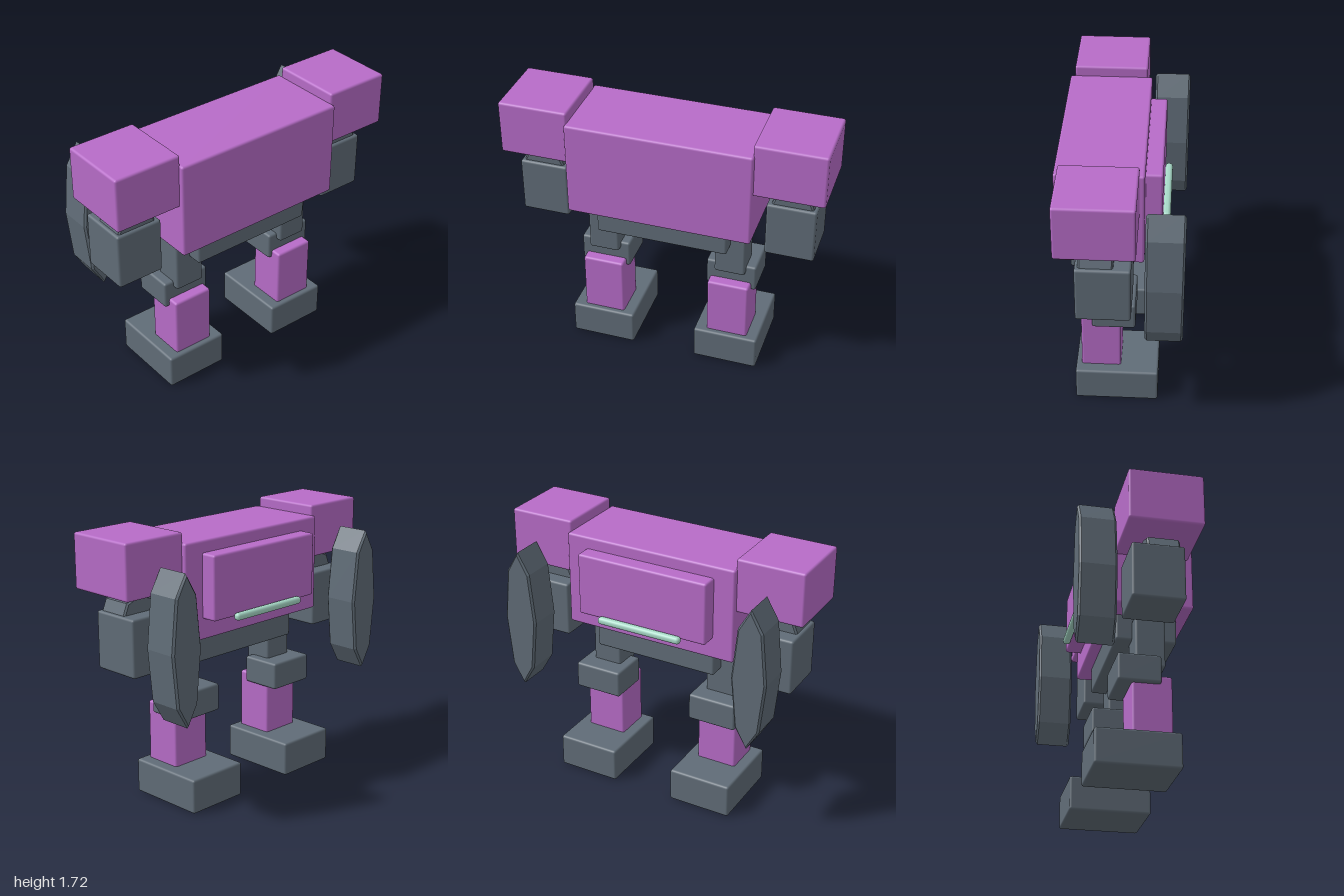
import * as THREE from 'three';
import { RoundedBoxGeometry } from 'three/addons/geometries/RoundedBoxGeometry.js';

const armour = new THREE.MeshStandardMaterial({ name: 'orchid armour', color: 0xb76cc8 });
const frame = new THREE.MeshStandardMaterial({ name: 'slate frame', color: 0x606c77 });
const glow = new THREE.MeshStandardMaterial({ name: 'mint light', color: 0xa6d8c6 });

// Softly bevelled box given by its min and max on each axis
function block(name, material, [x0, x1], [y0, y1], [z0, z1], bevel = 0.015) {
  const geometry = new RoundedBoxGeometry(x1 - x0, y1 - y0, z1 - z0, 2, bevel);
  const mesh = new THREE.Mesh(geometry, material);
  mesh.name = name;
  mesh.position.set((x0 + x1) / 2, (y0 + y1) / 2, (z0 + z1) / 2);
  return mesh;
}

// Bevelled eight-sided prism along z, stretched to radii rx and ry
function octagon(name, x, y, rx, ry, [z0, z1], bevel) {
  const points = [];
  for (let i = 0; i < 8; i++) {
    const a = (i * Math.PI) / 4;
    points.push(new THREE.Vector2(Math.cos(a) * rx, Math.sin(a) * ry));
  }
  const geometry = new THREE.ExtrudeGeometry(new THREE.Shape(points), {
    depth: z1 - z0 - 2 * bevel,
    bevelThickness: bevel, bevelSize: bevel, bevelOffset: -bevel, bevelSegments: 1,
  });
  const mesh = new THREE.Mesh(geometry, frame);
  mesh.name = name;
  mesh.position.set(x, y, z0 + bevel);
  return mesh;
}

// Ranges on x swap sign for the right side
const side = (s, a, b) => (s > 0 ? [a, b] : [-b, -a]);

function makeArm(s) {
  const arm = new THREE.Group();
  arm.name = s > 0 ? 'leftArm' : 'rightArm';
  arm.add(
    block('shoulder', armour, side(s, 0.565, 1), [1.38, 1.72], [-0.11, 0.35]),
    octagon('elbow', s * 0.785, 1.23, 0.14, 0.14, [0.02, 0.22], 0.01),
    block('forearm', frame, side(s, 0.63, 0.935), [0.905, 1.26], [-0.08, 0.24]),
  );
  return arm;
}

function makeLeg(s) {
  const leg = new THREE.Group();
  leg.name = s > 0 ? 'leftLeg' : 'rightLeg';
  leg.add(
    block('thigh', frame, side(s, 0.315, 0.51), [0.675, 1.01], [0.03, 0.215]),
    block('knee', frame, side(s, 0.255, 0.575), [0.545, 0.72], [-0.09, 0.175]),
    block('shin', armour, side(s, 0.28, 0.545), [0.2, 0.6], [0, 0.245]),
    block('foot', frame, side(s, 0.205, 0.62), [0, 0.22], [-0.235, 0.28]),
  );
  return leg;
}

export function createModel() {
  const model = new THREE.Group();
  model.name = 'robot';

  // Body, hips and back unit
  model.add(
    block('torso', armour, [-0.575, 0.575], [1.05, 1.655], [-0.14, 0.38]),
    block('pelvis', frame, [-0.415, 0.415], [0.885, 1.08], [-0.07, 0.31]),
    block('backpack', armour, [-0.44, 0.44], [1.18, 1.58], [-0.24, -0.12]),
    block('lightBar', glow, [-0.285, 0.285], [1.16, 1.206], [-0.285, -0.238], 0.02),
  );

  // Limbs and the spindle-shaped fins floating behind the arms
  for (const s of [1, -1]) {
    model.add(makeArm(s), makeLeg(s));
    const fin = octagon('backFin', s * 0.793, 1.103, 0.113, 0.458, [-0.38, -0.155], 0.012);
    model.add(fin);
  }
  return model;
}
